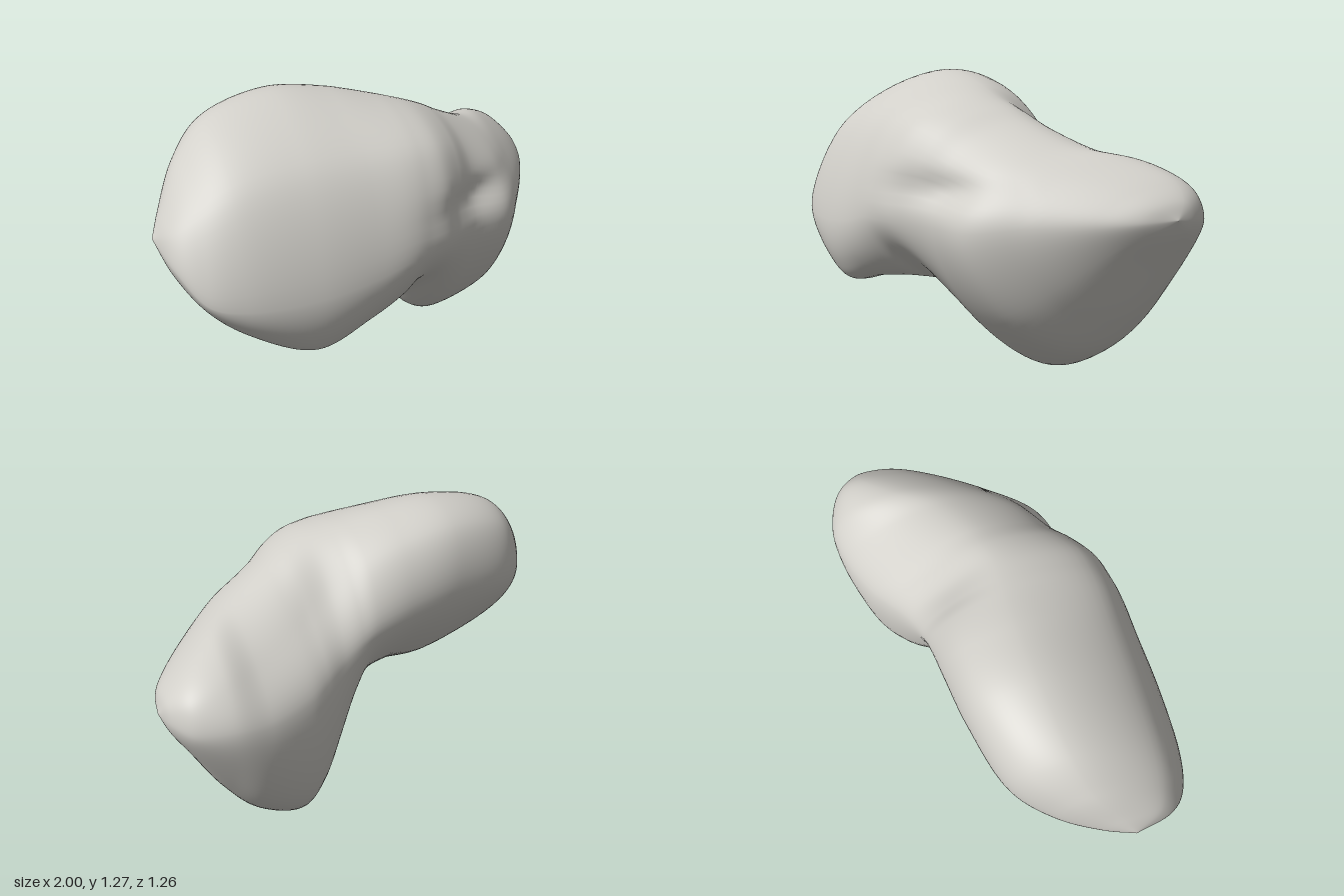
import * as THREE from 'three';

// Each cross-section: x, then (y, z) of its top, front, bottom and back points
const SECTIONS = [
  [-1.0, 0.81, 0.28, 0.81, 0.28, 0.81, 0.28, 0.81, 0.28],
  [-0.95, 0.91, 0.24, 0.73, 0.46, 0.69, 0.36, 0.81, 0.15],
  [-0.85, 1.07, 0.13, 0.61, 0.565, 0.555, 0.44, 0.83, -0.03],
  [-0.7, 1.20, 0.07, 0.58, 0.61, 0.43, 0.49, 0.87, -0.18],
  [-0.4, 1.27, 0.03, 0.58, 0.62, 0.29, 0.50, 0.90, -0.275],
  [-0.15, 1.25, 0.02, 0.61, 0.595, 0.345, 0.43, 0.87, -0.315],
  [0.02, 1.215, 0.02, 0.65, 0.57, 0.365, 0.30, 0.83, -0.34],
  [0.1, 1.195, 0.02, 0.65, 0.545, 0.33, 0.11, 0.80, -0.36],
  [0.2, 1.165, 0.02, 0.65, 0.51, 0.19, -0.08, 0.76, -0.40],
  [0.3, 1.125, 0.0, 0.65, 0.45, 0.05, -0.15, 0.73, -0.465],
  [0.4, 1.075, -0.02, 0.65, 0.40, 0.0, -0.18, 0.70, -0.53],
  [0.6, 0.985, -0.12, 0.65, 0.33, 0.09, -0.24, 0.68, -0.61],
  [0.75, 0.94, -0.30, 0.68, 0.15, 0.27, -0.31, 0.69, -0.63],
  [0.9, 0.86, -0.43, 0.70, -0.08, 0.53, -0.38, 0.69, -0.58],
  [0.97, 0.79, -0.43, 0.71, -0.23, 0.65, -0.40, 0.71, -0.49],
  [1.0, 0.72, -0.39, 0.72, -0.39, 0.72, -0.39, 0.72, -0.39],
];

// Roundness of the corners: top-front, front-bottom, bottom-back, back-top
const ROUNDNESS = [
  [0.4, 0.4, 0.4, 0.4], [0.38, 0.4, 0.34, 0.42], [0.37, 0.4, 0.3, 0.48],
  [0.37, 0.4, 0.28, 0.55], [0.37, 0.4, 0.27, 0.58], [0.42, 0.38, 0.28, 0.5],
  [0.48, 0.33, 0.32, 0.38], [0.52, 0.27, 0.4, 0.26], [0.55, 0.19, 0.49, 0.15],
  [0.54, 0.22, 0.55, 0.13], [0.45, 0.27, 0.56, 0.18], [0.36, 0.35, 0.46, 0.27],
  [0.32, 0.38, 0.35, 0.34], [0.33, 0.4, 0.33, 0.4], [0.4, 0.4, 0.4, 0.4],
  [0.4, 0.4, 0.4, 0.4],
];

// Eight control points around one section, starting at the top, toward the front
function sectionPoints(row, round) {
  const x = row[0];
  const extremes = [0, 1, 2, 3].map(k => new THREE.Vector3(x, row[1 + 2 * k], row[2 + 2 * k]));
  const points = [];
  extremes.forEach((a, k) => {
    const b = extremes[(k + 1) % 4];
    // the outer corner of the box around this quarter
    const corner = k % 2 === 0
      ? new THREE.Vector3(x, a.y, b.z)
      : new THREE.Vector3(x, b.y, a.z);
    points.push(a, a.clone().lerp(b, 0.5).lerp(corner, round[k]));
  });
  return points;
}

// Shallow hollow on the front, between the two lobes
function hollowDepth(p) {
  if (p.z < 0.1) return 0;
  const dx = (p.x - 0.4) / 0.22, dy = (p.y - 0.8) / 0.06;
  return 0.04 * Math.exp(-dx * dx - dy * dy);
}

// Smooth skin through the sections, lengthwise and around
function loftGeometry(lengthSteps, ringSteps) {
  const rings = SECTIONS.map((row, i) => sectionPoints(row, ROUNDNESS[i]));
  const rails = rings[0].map((_, k) =>
    new THREE.CatmullRomCurve3(rings.map(r => r[k]), false, 'centripetal'));
  const positions = [], indices = [];
  for (let i = 0; i <= lengthSteps; i++) {
    const pts = rails.map(r => r.getPoint(i / lengthSteps));
    const ring = new THREE.CatmullRomCurve3(pts, true, 'centripetal');
    const isTip = i === 0 || i === lengthSteps;
    for (let j = 0; j < ringSteps; j++) {
      const p = isTip ? pts[0] : ring.getPoint(j / ringSteps);
      positions.push(p.x, Math.max(p.y, 0), p.z - hollowDepth(p));
    }
  }
  for (let i = 0; i < lengthSteps; i++) {
    for (let j = 0; j < ringSteps; j++) {
      const next = (j + 1) % ringSteps;
      const a = i * ringSteps + j, b = i * ringSteps + next;
      const c = a + ringSteps, d = b + ringSteps;
      if (i > 0) indices.push(a, b, c);
      if (i < lengthSteps - 1) indices.push(b, d, c);
    }
  }
  const geometry = new THREE.BufferGeometry();
  geometry.setAttribute('position', new THREE.Float32BufferAttribute(positions, 3));
  geometry.setIndex(indices);
  geometry.computeVertexNormals();
  return geometry;
}

export function createModel() {
  const group = new THREE.Group();
  group.name = 'asteroid';

  const stone = new THREE.MeshStandardMaterial({ color: 0xd2d0ca });
  stone.name = 'grey stone';

  // One continuous two-lobed rock
  const body = new THREE.Mesh(loftGeometry(150, 80), stone);
  body.name = 'rockBody';
  group.add(body);
  return group;
}
